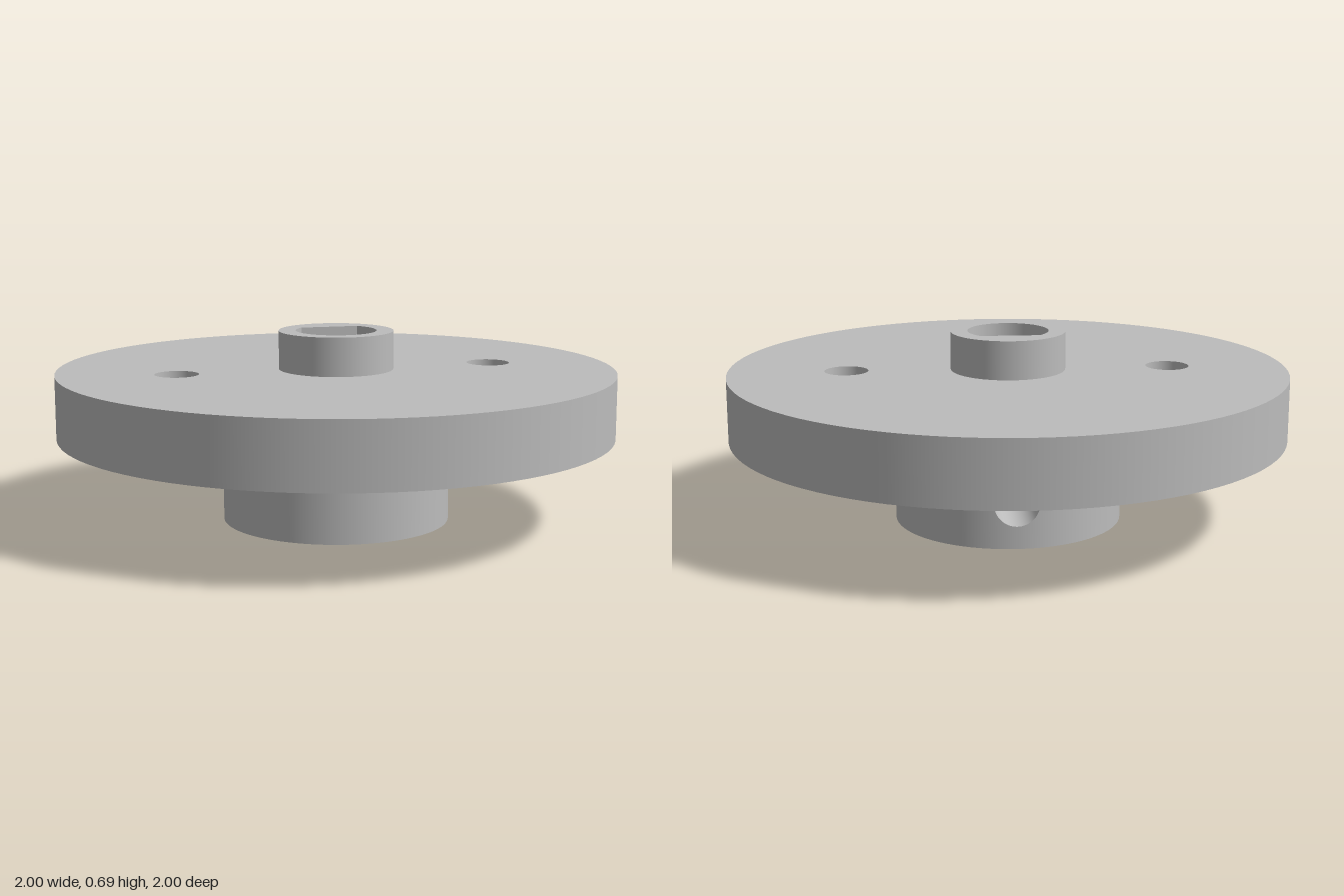
import * as THREE from 'three';

const HUB_R = 0.409, HUB_TOP = 0.32;
const FLANGE_R = 1, FLANGE_TOP = 0.547;
const COLLAR_R = 0.206, TOP = 0.685;
const BORE_R = 0.145, FLAT_Z = 0.1;        // D-shaped bore with its flat at the back
const BOLT_X = 0.578, BOLT_R = 0.078;
const SCREW_R = 0.08, SCREW_Y = HUB_TOP / 2;
const FLAT_ANGLE = Math.acos(FLAT_Z / BORE_R);
const SEGMENTS = 96;

// Open round wall, facing outward or inward; gap is a half angle left open at the back
function wall(r, y0, y1, inward = false, gap = 0) {
  const g = new THREE.CylinderGeometry(r, r, y1 - y0, SEGMENTS, 1, true, gap - Math.PI, 2 * (Math.PI - gap));
  if (inward) {
    g.scale(1, -1, 1);
    const n = g.attributes.normal;
    for (let i = 0; i < n.count; i++) n.setXYZ(i, -n.getX(i), -n.getY(i), -n.getZ(i));
  }
  return g.translate(0, (y0 + y1) / 2, 0);
}

const circle = (x, r) => new THREE.Path().absarc(x, 0, r, 0, Math.PI * 2);

// D outline; s = 1 for faces turned up, -1 for faces turned down
const bore = (s) => new THREE.Path().absarc(0, 0, BORE_R,
  s * Math.PI / 2 + FLAT_ANGLE, s * Math.PI / 2 + 2 * Math.PI - FLAT_ANGLE);

// Flat disc with holes, turned up (s = 1) or down (s = -1)
function face(r, y, s, holes) {
  const shape = new THREE.Shape().absarc(0, 0, r, 0, Math.PI * 2);
  shape.holes.push(...holes);
  return new THREE.ShapeGeometry(shape, SEGMENTS / 2).rotateX(-s * Math.PI / 2).translate(0, y, 0);
}

// Closed strip around the screw axis: point(u, t) and normal(p, t), u from 0 to 1
function around(rows, point, normal) {
  const cols = 64, pos = [], nor = [], idx = [];
  for (let i = 0; i <= rows; i++) {
    for (let j = 0; j <= cols; j++) {
      const t = j / cols * Math.PI * 2;
      const p = point(i / rows, t);
      pos.push(...p);
      nor.push(...normal(p, t));
      if (i < rows && j < cols) {
        const a = i * (cols + 1) + j, b = a + cols + 1;
        idx.push(a, b + 1, b, a, a + 1, b + 1);
      }
    }
  }
  const g = new THREE.BufferGeometry();
  g.setAttribute('position', new THREE.Float32BufferAttribute(pos, 3));
  g.setAttribute('normal', new THREE.Float32BufferAttribute(nor, 3));
  g.setIndex(idx);
  return g;
}

const hubZ = (x) => -Math.sqrt(HUB_R * HUB_R - x * x);

// Piece of hub wall running from the round screw hole out to a square edge
function screwPatch() {
  return around(6, (u, t) => {
    const c = Math.cos(t), s = Math.sin(t);
    const edge = SCREW_Y / Math.max(Math.abs(c), Math.abs(s));
    const d = THREE.MathUtils.lerp(SCREW_R, edge, u);
    return [d * c, SCREW_Y + d * s, hubZ(d * c)];
  }, (p) => [p[0] / HUB_R, 0, p[2] / HUB_R]);
}

// Inside of the screw hole, from the bore flat to the hub wall
function screwTunnel() {
  return around(1, (u, t) => {
    const x = SCREW_R * Math.cos(t);
    return [x, SCREW_Y + SCREW_R * Math.sin(t), THREE.MathUtils.lerp(-FLAT_Z, hubZ(x), u)];
  }, (p, t) => [-Math.cos(t), -Math.sin(t), 0]);
}

// Flat side of the bore, pierced by the screw hole
function boreFlat() {
  const w = Math.sqrt(BORE_R * BORE_R - FLAT_Z * FLAT_Z);
  const shape = new THREE.Shape().moveTo(-w, 0).lineTo(w, 0).lineTo(w, TOP).lineTo(-w, TOP);
  shape.holes.push(new THREE.Path().absarc(0, SCREW_Y, SCREW_R, 0, Math.PI * 2));
  return new THREE.ShapeGeometry(shape, 64).translate(0, 0, -FLAT_Z);
}

export function createModel() {
  const model = new THREE.Group();
  model.name = 'flangedHub';
  const metal = new THREE.MeshStandardMaterial({ color: 0xbcbcbc });
  metal.name = 'grey metal';

  const part = (name, pieces) => {
    const group = new THREE.Group();
    group.name = name;
    for (const [label, geometry] of Object.entries(pieces)) {
      const mesh = new THREE.Mesh(geometry, metal);
      mesh.name = label;
      group.add(mesh);
    }
    model.add(group);
  };

  const bolts = () => [circle(-BOLT_X, BOLT_R), circle(BOLT_X, BOLT_R)];

  part('hub', {
    hubWall: wall(HUB_R, 0, HUB_TOP, false, Math.asin(SCREW_Y / HUB_R)),
    hubScrewPatch: screwPatch(),
    hubBottom: face(HUB_R, 0, -1, [bore(-1)]),
    screwHole: screwTunnel(),
  });

  part('flange', {
    flangeRim: wall(FLANGE_R, HUB_TOP, FLANGE_TOP),
    flangeTop: face(FLANGE_R, FLANGE_TOP, 1, [circle(0, COLLAR_R), ...bolts()]),
    flangeBottom: face(FLANGE_R, HUB_TOP, -1, [circle(0, HUB_R), ...bolts()]),
    rightBoltHole: wall(BOLT_R, HUB_TOP, FLANGE_TOP, true).translate(-BOLT_X, 0, 0),
    leftBoltHole: wall(BOLT_R, HUB_TOP, FLANGE_TOP, true).translate(BOLT_X, 0, 0),
  });

  part('collar', {
    collarWall: wall(COLLAR_R, FLANGE_TOP, TOP),
    collarTop: face(COLLAR_R, TOP, 1, [bore(1)]),
  });

  part('shaftBore', {
    boreRound: wall(BORE_R, 0, TOP, true, FLAT_ANGLE),
    boreFlat: boreFlat(),
  });

  return model;
}
